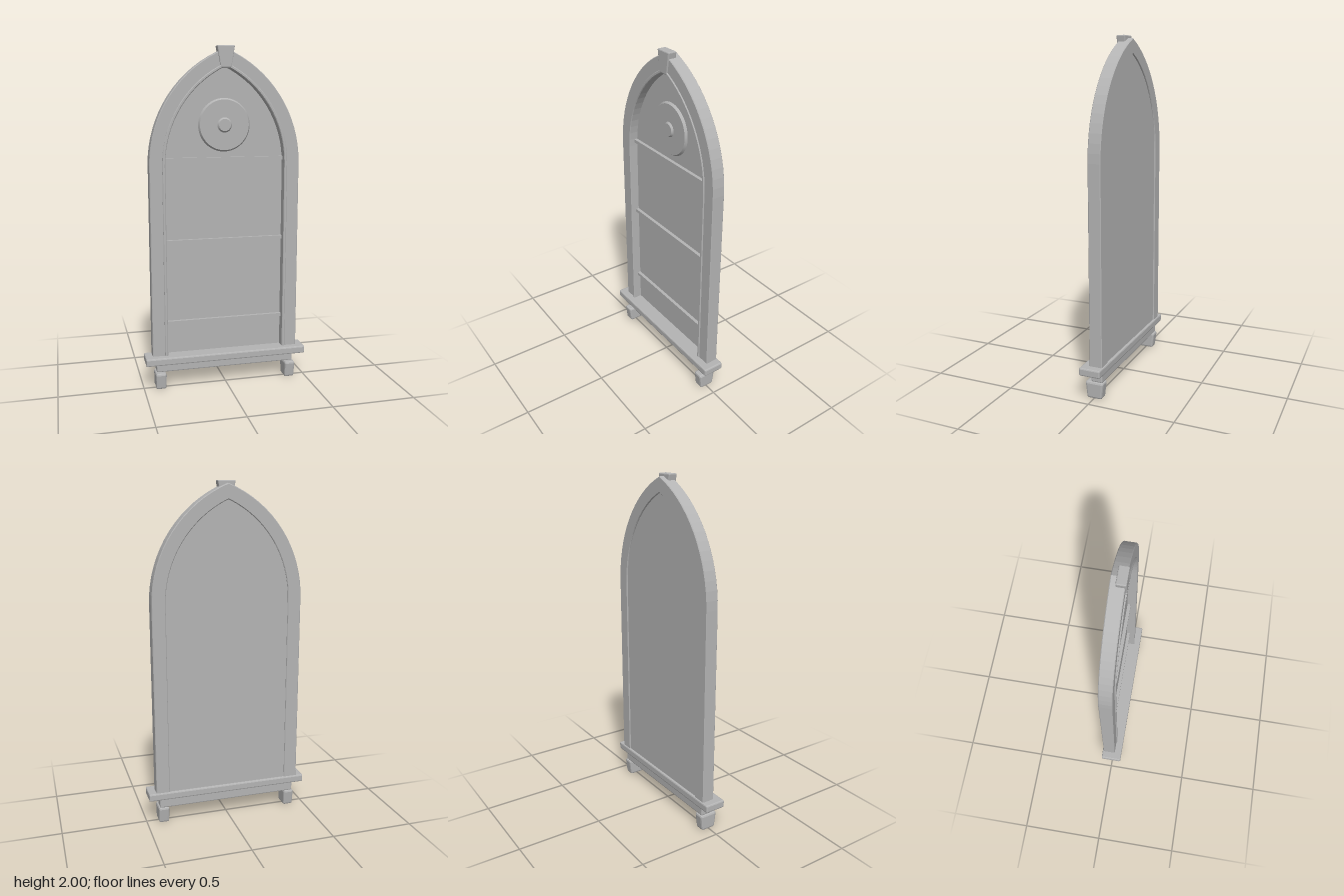
import * as THREE from 'three';
import { RoundedBoxGeometry } from 'three/addons/geometries/RoundedBoxGeometry.js';

const SPRING = 1.33;   // height where the arch starts
const BASE = 0.19;     // bottom of frame, sunk into the sill
const CENTRE = 0.2595; // arc centres sit this far past the middle

// Right half of a pointed arch outline, from the foot up to the apex
function archSide(halfWidth, steps = 16) {
  const r = halfWidth + CENTRE;
  const end = Math.acos(CENTRE / r);
  const pts = [new THREE.Vector2(halfWidth, BASE)];
  for (let i = 0; i <= steps; i++) {
    const a = (end * i) / steps;
    pts.push(new THREE.Vector2(r * Math.cos(a) - CENTRE, SPRING + r * Math.sin(a)));
  }
  pts[pts.length - 1].x = 0;
  return pts;
}

// Whole outline, right foot over the apex to left foot
function archOutline(halfWidth) {
  const right = archSide(halfWidth);
  const left = right.slice(0, -1).reverse().map(p => new THREE.Vector2(-p.x, p.y));
  return right.concat(left);
}

function extrude(points, z0, z1, bevel = 0) {
  const geo = new THREE.ExtrudeGeometry(new THREE.Shape(points), {
    depth: z1 - z0 - 2 * bevel,
    bevelEnabled: bevel > 0,
    bevelThickness: bevel,
    bevelSize: bevel,
    bevelOffset: -bevel,
    bevelSegments: 1,
  });
  return geo.translate(0, 0, z0 + bevel);
}

// Band between two arches, open at the bottom
function archBand(outer, inner, z0, z1, bevel) {
  return extrude(archOutline(outer).concat(archOutline(inner).reverse()), z0, z1, bevel);
}

// Box with chamfered edges; the bottom can be narrowed in x and z
function chamferBox(w, h, d, chamfer, bottomX = 1, bottomZ = 1) {
  const geo = new RoundedBoxGeometry(w, h, d, 1, chamfer);
  const p = geo.attributes.position;
  for (let i = 0; i < p.count; i++) {
    const t = 0.5 - p.getY(i) / h;
    p.setX(i, p.getX(i) * (1 + (bottomX - 1) * t));
    p.setZ(i, p.getZ(i) * (1 + (bottomZ - 1) * t));
  }
  geo.computeVertexNormals();
  return geo;
}

export function createModel() {
  const group = new THREE.Group();
  const stone = new THREE.MeshStandardMaterial({ color: 0xb4b4b4 });
  stone.name = 'grey stone';

  const add = (name, geo, x = 0, y = 0, z = 0) => {
    const mesh = new THREE.Mesh(geo, stone);
    mesh.name = name;
    mesh.position.set(x, y, z);
    group.add(mesh);
    return mesh;
  };

  // Pointed frame, its inner moulding and the recessed panel
  add('frame', archBand(0.445, 0.365, -0.058, 0.017, 0.004));
  add('innerMoulding', archBand(0.372, 0.354, -0.045, 0.023, 0.004));
  add('panel', extrude(archOutline(0.368), -0.051, -0.03));

  // Horizontal bars across the panel
  for (const top of [0.4, 0.89, 1.37]) {
    add('panelBar', new THREE.BoxGeometry(0.715, 0.02, 0.03), 0, top - 0.01, -0.025);
  }

  // Round ornament with a small centre boss
  const disc = (r, z0, z1) =>
    new THREE.CylinderGeometry(r - 0.01, r, z1 - z0, 48)
      .rotateX(Math.PI / 2).translate(0, 0, (z0 + z1) / 2);
  add('roundOrnament', disc(0.155, -0.032, -0.016), 0, 1.555);
  add('ornamentBoss', disc(0.045, -0.018, -0.006), 0, 1.555);

  // Keystone at the apex
  add('keystone', chamferBox(0.104, 0.124, 0.052, 0.006, 0.6, 1), 0, 1.938, -0.002);

  // Sill, apron below it and the two tapered feet
  add('sill', chamferBox(0.98, 0.046, 0.127, 0.008), 0, 0.177, -0.002);
  add('apron', chamferBox(0.846, 0.06, 0.068, 0.007), 0, 0.128, -0.016);
  for (const side of [-1, 1]) {
    add('foot', chamferBox(0.064, 0.1, 0.112, 0.012, 0.95, 0.78), side * 0.4, 0.05, -0.003);
  }
  return group;
}
